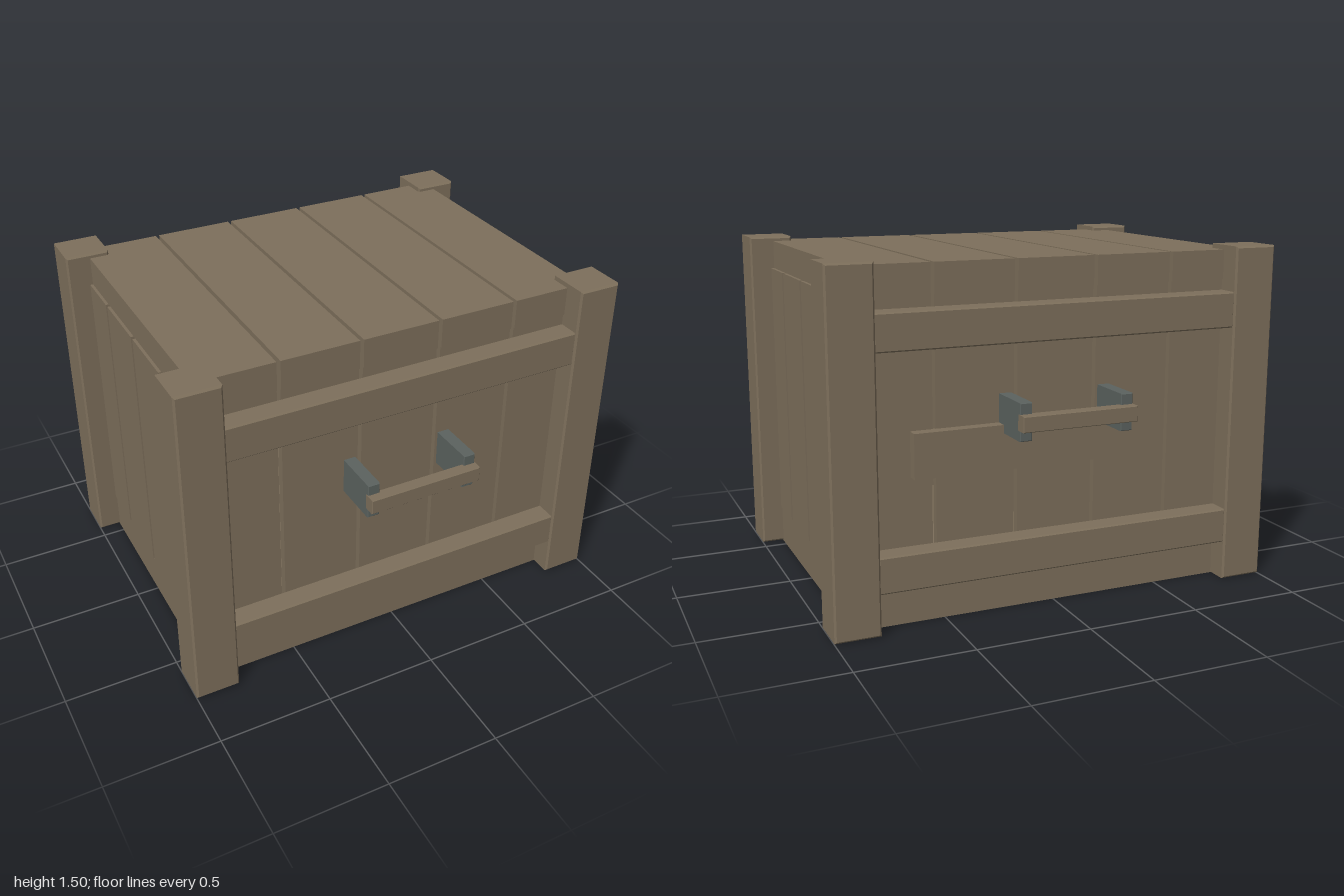
import * as THREE from 'three';

const wood = new THREE.MeshStandardMaterial({ color: 0x7d6f5b });
wood.name = 'brown wood';
const iron = new THREE.MeshStandardMaterial({ color: 0x5b625f });
iron.name = 'grey iron';

// Box given by its extents, with optionally chamfered edges
function block(name, material, [x0, x1], [y0, y1], [z0, z1], bevel = 0) {
  const w = x1 - x0, h = y1 - y0, d = z1 - z0;
  let geometry;
  if (bevel > 0) {
    const a = w / 2 - bevel, b = h / 2 - bevel;
    const outline = new THREE.Shape([
      new THREE.Vector2(-a, -b), new THREE.Vector2(a, -b),
      new THREE.Vector2(a, b), new THREE.Vector2(-a, b),
    ]);
    geometry = new THREE.ExtrudeGeometry(outline, {
      depth: d - 2 * bevel, bevelEnabled: true, bevelSize: bevel,
      bevelThickness: bevel, bevelSegments: 1, steps: 1,
    });
    geometry.center();
  } else {
    geometry = new THREE.BoxGeometry(w, h, d);
  }
  const mesh = new THREE.Mesh(geometry, material);
  mesh.name = name;
  mesh.position.set((x0 + x1) / 2, (y0 + y1) / 2, (z0 + z1) / 2);
  return mesh;
}

// Extent mirrored to the chosen side
const side = (s, a, b) => (s > 0 ? [a, b] : [-b, -a]);

export function createModel() {
  const crate = new THREE.Group();
  crate.name = 'crate';
  const add = (...args) => crate.add(block(...args));

  // Floor slab
  add('base', wood, [-0.9, 0.9], [0, 0.175], [-0.65, 0.65]);

  // Lid planks, with front and back wall planks below them
  for (let i = -2; i <= 2; i++) {
    const x = [i * 0.36 - 0.172, i * 0.36 + 0.171];
    add('lidPlank', wood, x, [1.353, 1.48], [-0.652, 0.652]);
    for (const s of [-1, 1]) {
      add('wallPlank', wood, x, [0.175, 1.353], side(s, 0.61, 0.645));
    }
  }

  for (const s of [-1, 1]) {
    // Side wall planks
    for (let i = 0; i < 4; i++) {
      const z = -0.65 + i * 0.325;
      add('sidePlank', wood, side(s, 0.865, 0.905), [0.175, 1.353],
        [z + 0.01, z + 0.315]);
    }

    // Corner posts
    for (const t of [-1, 1]) {
      add('cornerPost', wood, side(s, 0.805, 1), [0.003, 1.5],
        side(t, 0.555, 0.748), 0.008);
    }

    // Horizontal rails
    for (const y of [[0.175, 0.33], [1.15, 1.305]]) {
      add('rail', wood, [-0.81, 0.81], y, side(s, 0.64, 0.738), 0.006);
    }

    // Handle: two iron brackets and a wooden grip
    const handle = new THREE.Group();
    handle.name = s > 0 ? 'frontHandle' : 'backHandle';
    for (const t of [-1, 1]) {
      handle.add(block('bracket', iron, side(t, 0.2, 0.253), [0.775, 0.932],
        side(s, 0.64, 0.853), 0.003));
    }
    handle.add(block('grip', wood, [-0.256, 0.256], [0.82, 0.886],
      side(s, 0.838, 0.893), 0.003));
    crate.add(handle);
  }

  // Repair board nailed across the back
  add('backBoard', wood, [-0.27, 0.64], [0.62, 0.81], [-0.695, -0.64]);

  return crate;
}
